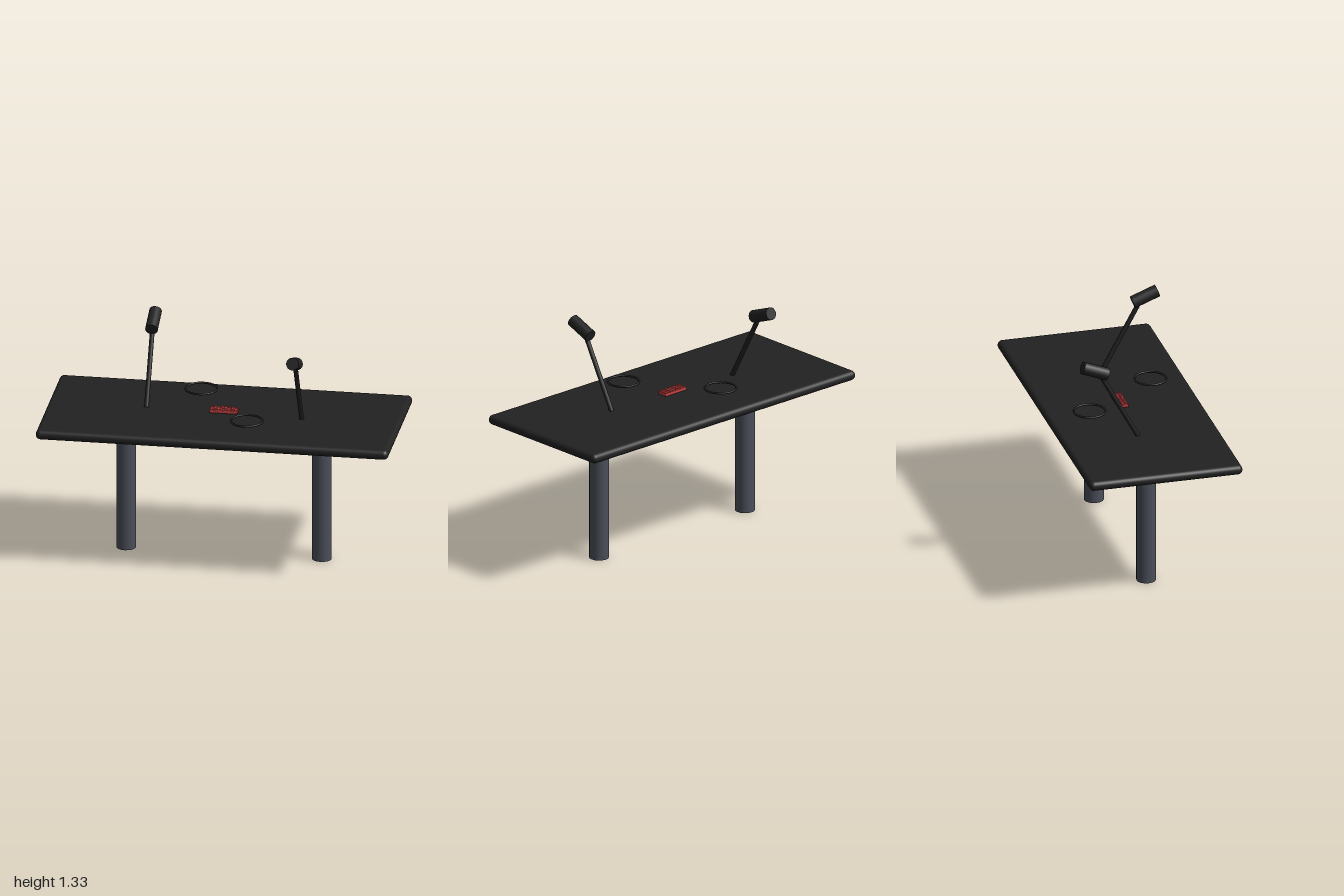
import * as THREE from 'three';
import { RoundedBoxGeometry } from 'three/addons/geometries/RoundedBoxGeometry.js';

export function createModel() {
  const paint = (name, color) => {
    const m = new THREE.MeshStandardMaterial({ color });
    m.name = name;
    return m;
  };
  const black = paint('matte black', 0x222222);
  const steel = paint('grey steel', 0x4b4f59);
  const red = paint('red', 0xcc4444);

  const model = new THREE.Group();
  model.name = 'interviewTable';
  const add = (parent, name, geometry, material, x = 0, y = 0, z = 0) => {
    const mesh = new THREE.Mesh(geometry, material);
    mesh.name = name;
    mesh.position.set(x, y, z);
    parent.add(mesh);
    return mesh;
  };

  // Table top with fully rounded rim
  add(model, 'tableTop', new RoundedBoxGeometry(2, 0.056, 0.888, 4, 0.027), black, 0, 0.814, 0);

  // Each place has a leg, a leaning microphone and a ring; the second is turned half round
  const poleTilt = 0.5, headTilt = 1.2, poleLength = 0.43;
  for (const side of ['left', 'right']) {
    const place = new THREE.Group();
    place.name = side + 'Place';
    place.rotation.y = side === 'left' ? 0 : Math.PI;
    model.add(place);

    add(place, 'leg', new THREE.CylinderGeometry(0.056, 0.056, 0.78, 16), steel, 0.555, 0.39, 0);

    const pole = add(place, 'microphonePole',
      new THREE.CylinderGeometry(0.0135, 0.0135, poleLength, 12), black, 0.443, 1.029, 0.12);
    pole.rotation.x = poleTilt;

    const head = add(place, 'microphoneHead',
      new THREE.CylinderGeometry(0.036, 0.036, 0.155, 16), black, 0.443, 1.268, 0.266);
    head.rotation.x = headTilt;

    const ring = add(place, 'ring', new THREE.TorusGeometry(0.089, 0.006, 8, 32), black, 0.165, 0.891, 0.222);
    ring.rotation.x = Math.PI / 2;
  }

  // Red centre block with rows of small ridges on top
  add(model, 'centreBlock', new THREE.BoxGeometry(0.158, 0.016, 0.059), red, 0, 0.856, -0.003);
  for (let row = 0; row < 3; row++) {
    for (let col = 0; col < 8; col++) {
      add(model, 'centreStud', new THREE.BoxGeometry(0.014, 0.006, 0.016), red,
        (col - 3.5) * 0.0195, 0.866, -0.003 + (row - 1) * 0.0195);
    }
  }
  return model;
}
